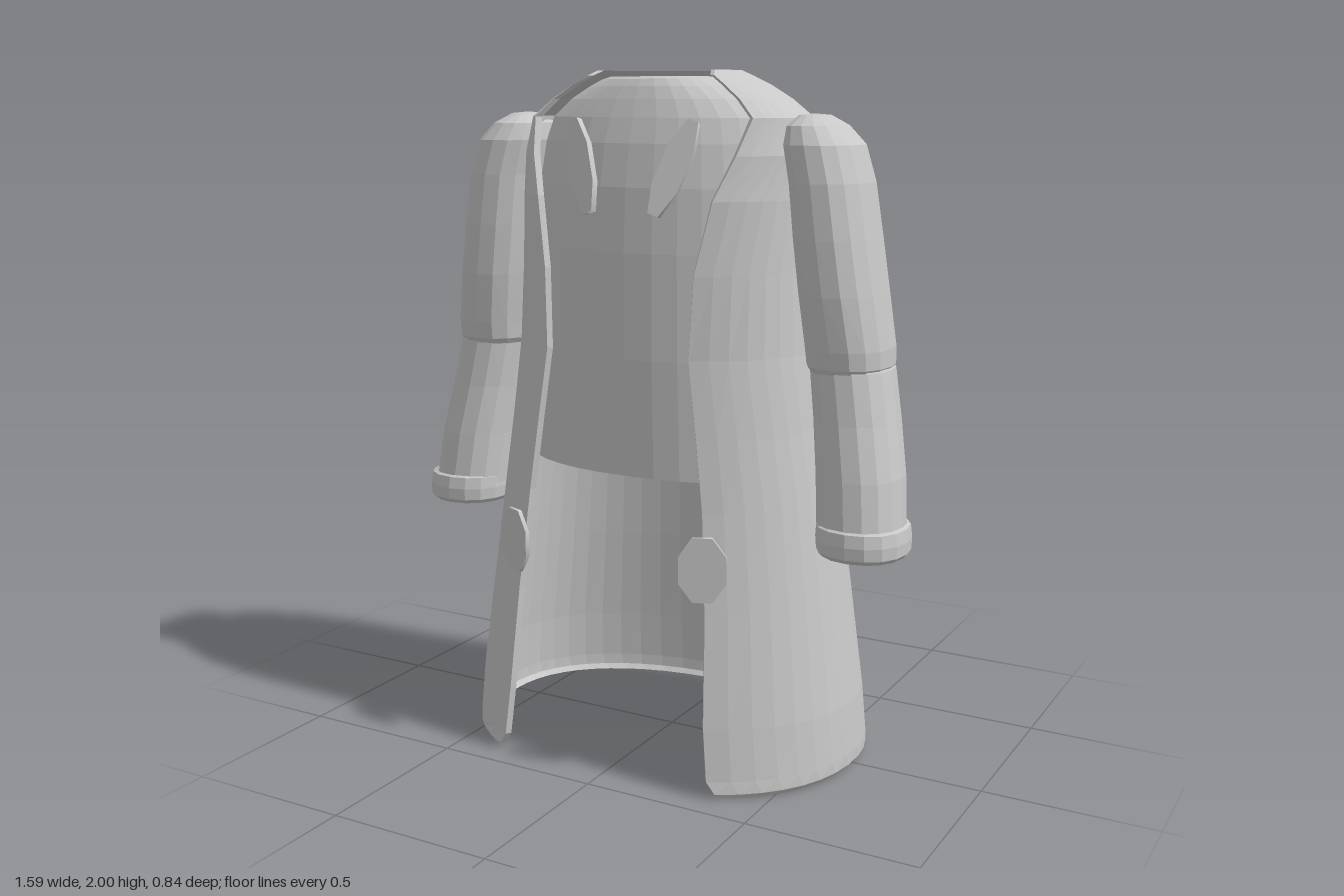
import * as THREE from 'three';

const N = 2.2; // roundness of every cross-section (2 would be an ellipse)
const pow = (v, e) => Math.sign(v) * Math.abs(v) ** e;

// Faceted skin over a list of closed rings
function loft(rings) {
  const pos = [];
  for (let r = 0; r < rings.length - 1; r++) {
    const a = rings[r], b = rings[r + 1], n = a.length;
    for (let i = 0; i < n; i++) {
      const j = (i + 1) % n;
      pos.push(...a[i], ...a[j], ...b[j], ...a[i], ...b[j], ...b[i]);
    }
  }
  const g = new THREE.BufferGeometry();
  g.setAttribute('position', new THREE.Float32BufferAttribute(pos, 3));
  g.computeVertexNormals();
  return g;
}

// Rounded ring: centre, half width, front and back depth
function ring(y, cx, cz, rx, front, back = front, sides = 16) {
  return Array.from({ length: sides }, (_, i) => {
    const t = (i / sides) * Math.PI * 2, c = Math.cos(t);
    return [cx + rx * pow(Math.sin(t), 2 / N), y, cz + (c > 0 ? front : back) * pow(c, 2 / N)];
  });
}

// C-shaped coat section with thickness t; the front edges sit at (+-gap, edgeZ)
function coatRing([y, a, back, gap, edgeZ], t) {
  const k = 40, start = Math.asin((gap / a) ** (N / 2));
  const front = edgeZ / Math.cos(start) ** (2 / N);
  const outer = [], inner = [];
  for (let i = 0; i <= k; i++) {
    const th = start + (i / k) * (2 * Math.PI - 2 * start);
    const sx = pow(Math.sin(th), 2 / N), cz = pow(Math.cos(th), 2 / N);
    const d = cz > 0 ? front : back;
    outer.push([a * sx, y, d * cz]);
    inner.unshift([(a - t) * sx, y, (d - t) * cz]);
  }
  return [...outer, ...inner];
}

export function createModel() {
  const model = new THREE.Group();
  const cloth = new THREE.MeshStandardMaterial({ color: 0xc8c8c8, side: THREE.DoubleSide });
  cloth.name = 'greyCloth';
  const add = (name, geometry, parent = model) => {
    const m = new THREE.Mesh(geometry, cloth);
    m.name = name;
    parent.add(m);
    return m;
  };

  // Long open coat: height, half width, back depth, half opening, front edge z
  const coat = [
    [0, 0.605, 0.41, 0.40, 0.385],
    [0.015, 0.618, 0.42, 0.365, 0.415],
    [0.05, 0.618, 0.42, 0.34, 0.42],
    [0.2, 0.605, 0.405, 0.325, 0.41],
    [0.5, 0.565, 0.37, 0.31, 0.375],
    [0.8, 0.525, 0.34, 0.285, 0.345],
    [1.0, 0.495, 0.32, 0.26, 0.335],
    [1.22, 0.468, 0.30, 0.23, 0.325],
    [1.45, 0.452, 0.292, 0.24, 0.315],
    [1.65, 0.45, 0.287, 0.28, 0.285],
    [1.77, 0.45, 0.272, 0.325, 0.235],
    [1.87, 0.43, 0.245, 0.35, 0.185],
    [1.92, 0.365, 0.225, 0.30, 0.165],
    [1.96, 0.295, 0.205, 0.245, 0.15],
    [1.985, 0.24, 0.185, 0.205, 0.135],
    [2.0, 0.205, 0.165, 0.19, 0.10],
  ];
  const skin = coat.map((r) => coatRing(r, 0.018));
  add('coat', loft([coatRing(coat[0], 0), ...skin, coatRing(coat[coat.length - 1], 0)]));

  // Short shirt inside the coat: height, half width, front, back
  const shirt = [
    [0.86, 0.45, 0.28, 0.29], [1.2, 0.435, 0.285, 0.272], [1.5, 0.425, 0.28, 0.262],
    [1.68, 0.415, 0.268, 0.255], [1.8, 0.395, 0.248, 0.24], [1.87, 0.37, 0.228, 0.215],
    [1.92, 0.31, 0.21, 0.192], [1.955, 0.245, 0.195, 0.17], [1.975, 0.2, 0.182, 0.145], [1.982, 0.175, 0.17, 0.13],
  ];
  add('shirt', loft(shirt.map(([y, a, f, b]) => ring(y, 0, 0, a, f, b, 36))));

  // Sleeve parts: height, centre x, centre z, half width, half depth
  const upper = [
    [1.882, 0.47, 0.045, 0.002, 0.002], [1.878, 0.47, 0.045, 0.04, 0.06], [1.85, 0.48, 0.045, 0.078, 0.115],
    [1.80, 0.50, 0.045, 0.105, 0.143], [1.7, 0.525, 0.045, 0.11, 0.154], [1.55, 0.545, 0.045, 0.115, 0.156],
    [1.4, 0.565, 0.042, 0.118, 0.155], [1.25, 0.585, 0.035, 0.12, 0.147], [1.2, 0.587, 0.032, 0.118, 0.142],
    [1.18, 0.587, 0.032, 0.105, 0.13],
  ];
  const fore = [
    [1.22, 0.59, 0.03, 0.10, 0.125], [1.19, 0.592, 0.03, 0.114, 0.136], [1.05, 0.615, 0.045, 0.117, 0.137],
    [0.9, 0.64, 0.072, 0.121, 0.134], [0.74, 0.655, 0.095, 0.121, 0.13],
  ];
  const cuff = [
    [0.77, 0.66, 0.097, 0.118, 0.128], [0.765, 0.662, 0.098, 0.127, 0.136], [0.73, 0.664, 0.1, 0.13, 0.14],
    [0.695, 0.665, 0.1, 0.128, 0.138], [0.682, 0.665, 0.1, 0.116, 0.126], [0.69, 0.665, 0.1, 0.108, 0.118],
    [0.76, 0.66, 0.097, 0.108, 0.118],
  ];

  // Thin eight-sided plate facing +z
  const plate = (w, h, d) =>
    new THREE.CylinderGeometry(1, 1, d, 8).rotateX(Math.PI / 2).rotateZ(Math.PI / 8).scale(w, h, 1).toNonIndexed();

  for (const s of [1, -1]) {
    const side = s > 0 ? 'left' : 'right';
    const sleeve = new THREE.Group();
    sleeve.name = side + 'Sleeve';
    model.add(sleeve);
    const tube = (rows) => loft(rows.map(([y, x, z, rx, rz]) => ring(y, s * x, z, rx, rz)));
    add(side + 'UpperSleeve', tube(upper), sleeve);
    add(side + 'Forearm', tube(fore), sleeve);
    add(side + 'Cuff', tube(cuff), sleeve);

    // Slanted chest tab on the shirt
    const tab = add(side + 'ChestTab', plate(0.042, 0.15, 0.02));
    tab.position.set(s * 0.147, 1.735, 0.258);
    tab.rotation.set(-0.2, s * 0.2, -s * 0.33);

    // Large button on the front edge of the coat
    const button = add(side + 'Button', plate(0.072, 0.1, 0.012));
    button.position.set(s * 0.31, 0.655, 0.39);
    button.rotation.y = s * 0.42;
  }
  return model;
}
